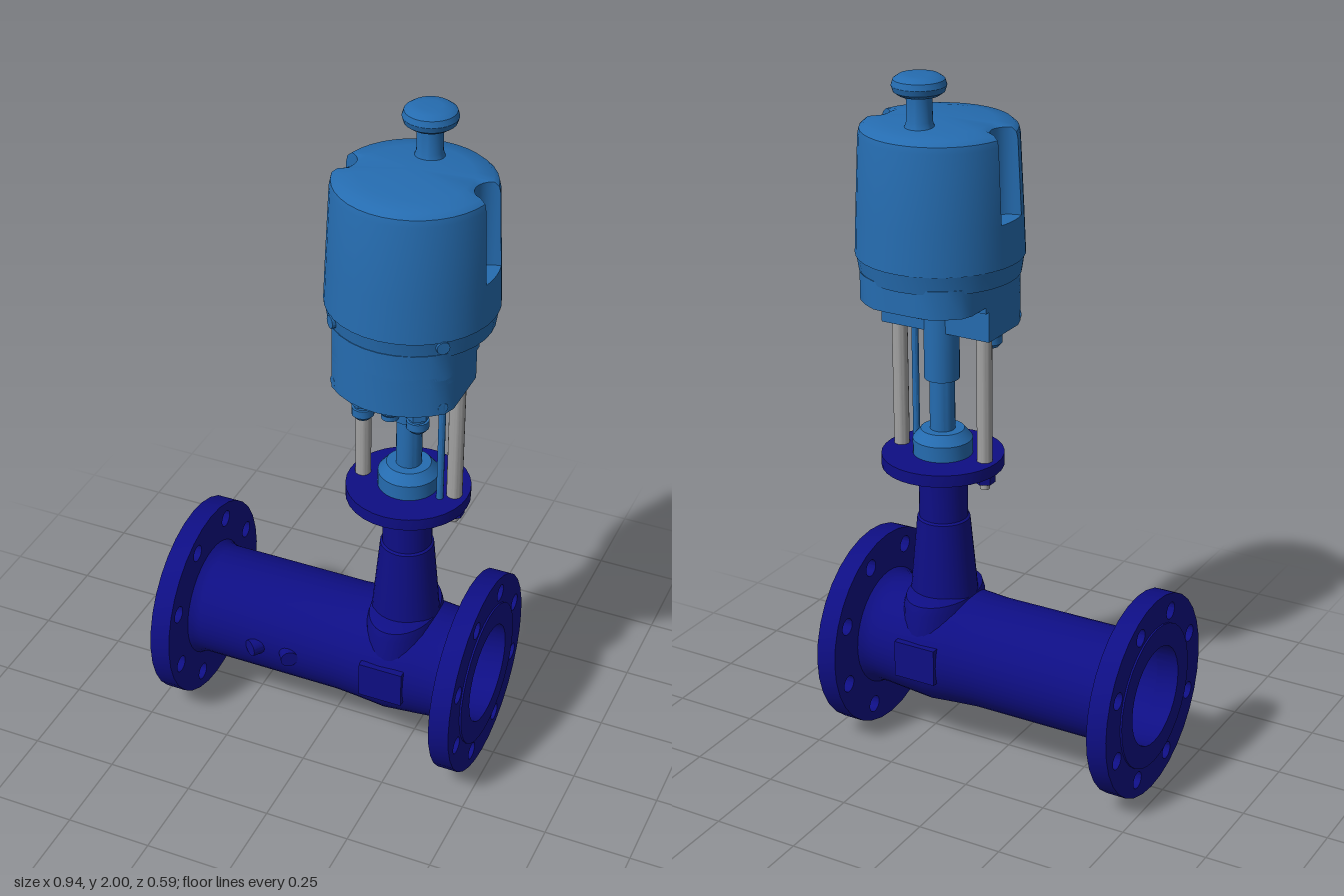
import * as THREE from 'three';
import { toCreasedNormals } from 'three/addons/utils/BufferGeometryUtils.js';

const navy = new THREE.MeshStandardMaterial({ color: 0x0e0e84 });
navy.name = 'navy paint';
const blue = new THREE.MeshStandardMaterial({ color: 0x256cb0 });
blue.name = 'blue paint';
const steel = new THREE.MeshStandardMaterial({ color: 0xa2a2a2 });
steel.name = 'bare steel';

const PIPE_Y = 0.295; // height of the pipe axis
const CX = 0.213;     // x of the vertical stem axis

export function createModel() {
  const model = new THREE.Group();
  model.name = 'motorisedValve';

  const add = (name, geo, mat, x = 0, y = 0, z = 0) => {
    const mesh = new THREE.Mesh(toCreasedNormals(geo, 0.6), mat);
    mesh.name = name;
    mesh.position.set(x, y, z);
    model.add(mesh);
    return mesh;
  };
  const lathe = (pts, seg = 32) =>
    new THREE.LatheGeometry(pts.map(([r, y]) => new THREE.Vector2(r, y)), seg);
  const rod = (name, mat, r, y0, y1, x, z = 0, seg = 20) =>
    add(name, new THREE.CylinderGeometry(r, r, y1 - y0, seg), mat, x, (y0 + y1) / 2, z);
  const circle = (P, r, x = 0, y = 0) => {
    const p = new P();
    p.absarc(x, y, r, 0, Math.PI * 2);
    return p;
  };
  // disc with round holes, extruded along x
  const disc = (r, depth, holes) => {
    const s = circle(THREE.Shape, r);
    holes.forEach(([hr, x, y]) => s.holes.push(circle(THREE.Path, hr, x, y)));
    return new THREE.ExtrudeGeometry(s, { depth, bevelEnabled: false, curveSegments: 16 })
      .rotateY(Math.PI / 2);
  };

  // Pipe body with fillets at the flanges and a bulge around the ball
  const pipe = lathe([[0.178, -0.41], [0.168, -0.395], [0.163, -0.375], [0.163, 0.05],
    [0.168, 0.12], [0.175, 0.2], [0.168, 0.29], [0.163, 0.35], [0.163, 0.375],
    [0.168, 0.395], [0.178, 0.41]], 40).rotateZ(-Math.PI / 2);
  add('pipeBody', pipe, navy, 0, PIPE_Y);
  const bore = lathe([[0.145, 0.47], [0.145, -0.47]], 40).rotateZ(-Math.PI / 2);
  add('pipeBore', bore, navy, 0, PIPE_Y);
  add('valveBall', new THREE.SphereGeometry(0.15, 32, 20), navy, 0.205, PIPE_Y);

  // End flanges with eight bolt holes and raised faces
  const boltHoles = [[0.145, 0, 0]];
  for (let i = 0; i < 8; i++) {
    const a = (i + 0.5) * Math.PI / 4;
    boltHoles.push([0.025, 0.243 * Math.cos(a), 0.243 * Math.sin(a)]);
  }
  for (const s of [-1, 1]) {
    add('endFlange', disc(0.295, 0.06, boltHoles), navy, s * 0.435 - 0.03, PIPE_Y);
    add('raisedFace', disc(0.21, 0.007, [[0.145, 0, 0]]), navy,
      s > 0 ? 0.463 : -0.47, PIPE_Y);
  }

  // Name plates on both sides and two slanted test ports
  for (const s of [-1, 1])
    add('namePlate', new THREE.BoxGeometry(0.13, 0.11, 0.02), navy, 0.21, 0.3, s * 0.17);
  for (const s of [-1, 1]) {
    const port = add('testPort', new THREE.CylinderGeometry(0.025, 0.025, 0.06, 16)
      .rotateX(Math.PI / 2), navy, -0.138 + s * 0.046, PIPE_Y, 0.152);
    port.rotation.y = s * 0.6;
  }

  // Oval boss, tapered neck and mounting flange
  add('neckBoss', lathe([[0.105, 0.3], [0.102, 0.44], [0.096, 0.465], [0.08, 0.475], [0, 0.475]])
    .scale(1, 1, 1.5), navy, CX);
  add('neck', lathe([[0.098, 0.45], [0.094, 0.5], [0.076, 0.695], [0.07, 0.7], [0.07, 0.87]]),
    navy, CX);
  rod('mountingFlange', navy, 0.174, 0.86, 0.895, CX, 0, 32);

  // Support posts with nuts below the mounting flange
  for (const s of [-1, 1]) {
    const x = CX + s * 0.136;
    rod('supportPost', steel, 0.022, 0.895, 1.268, x);
    rod('postNut', navy, 0.03, 0.83, 0.86, x, 0, 6);
    rod('postTip', steel, 0.014, 0.81, 0.83, x);
  }

  // Collar, stem and coupling
  add('stemCollar', lathe([[0.085, 0.895], [0.085, 0.94], [0.062, 0.968], [0, 0.968]]), blue, CX);
  rod('stem', blue, 0.036, 0.96, 1.14, CX);
  rod('stemCoupling', blue, 0.05, 1.12, 1.38, CX);
  rod('antiTurnRod', blue, 0.01, 0.895, 1.27, 0.318, 0.03, 12);

  // Housing slabs: a circle clipped to flat sides and a flat back
  const slab = (name, back, y0, y1) => {
    const pts = [];
    for (let i = 0; i < 32; i++) {
      const a = i / 32 * Math.PI * 2;
      const x = THREE.MathUtils.clamp(0.226 * Math.cos(a), -0.172, 0.172);
      const z = Math.max(0.226 * Math.sin(a), back);
      pts.push(new THREE.Vector2(x, -z));
    }
    const geo = new THREE.ExtrudeGeometry(new THREE.Shape(pts.reverse()),
      { depth: y1 - y0, bevelEnabled: false }).rotateX(-Math.PI / 2);
    add(name, geo, blue, CX, y0);
  };
  slab('lowerHousing', -0.036, 1.265, 1.38);
  slab('housingStep', -0.052, 1.352, 1.38);
  slab('upperHousing', -0.212, 1.37, 1.45);
  rod('rearPlug', blue, 0.035, 1.33, 1.372, CX, -0.085);

  // Cable glands under the front of the housing
  for (const dx of [-0.078, 0, 0.078]) {
    const low = dx ? 1.18 : 1.21;
    rod('glandNut', blue, 0.034, 1.225, 1.25, CX + dx, 0.14, 6);
    rod('glandNeck', blue, 0.024, 1.2, 1.27, CX + dx, 0.14);
    add('glandCap', lathe([[0, 0], [0.02, 0], [0.031, 0.012], [0.031, 0.035], [0, 0.035]], 16),
      blue, CX + dx, low, 0.14);
  }

  // Base ring of the cover with its screws
  add('coverRing', lathe([[0, 1.438], [0.222, 1.438], [0.23, 1.49], [0, 1.49]], 36), blue, CX);
  for (const s of [-1, 1]) {
    const screw = add('coverScrew', new THREE.CylinderGeometry(0.018, 0.018, 0.03, 12)
      .rotateX(Math.PI / 2), blue, CX + s * 0.148, 1.475, 0.165);
    screw.rotation.y = s * 0.73;
    const low = add('housingScrew', new THREE.CylinderGeometry(0.014, 0.014, 0.02, 12)
      .rotateX(Math.PI / 2), blue, CX + s * 0.15, 1.285, 0.155);
    low.rotation.y = s * 0.73;
  }

  add('actuatorCover', coverGeometry(), blue, CX);

  // Hand knob on top
  add('handKnob', lathe([[0.042, 1.855], [0.035, 1.875], [0.035, 1.945], [0.055, 1.946],
    [0.069, 1.956], [0.074, 1.972], [0.069, 1.988], [0.055, 1.998], [0.03, 2.0], [0, 2.0]]),
    blue, CX, 0, -0.098);

  return model;
}

// Tapered, domed cover with a vertical round groove cut into its +x and -x sides
function coverGeometry() {
  const d = 0.213, r = 0.05, edge = Math.asin(r / d);
  const levels = [[1.49, 0], [1.49, 0.233], [1.61, 0.228], [1.61, 0.228, true], [1.82, 0.218, true],
    [1.838, 0.214, true], [1.85, 0.2, true], [1.858, 0.15, true], [1.868, 0, true]];
  // angles round one side: groove samples, then the plain wall
  const half = [];
  for (let i = 0; i <= 12; i++) half.push([Math.asin(Math.sin((i / 6 - 1) * Math.PI / 2) * r / d), true]);
  for (let i = 0; i <= 16; i++) half.push([edge + (Math.PI - 2 * edge) * i / 16, false]);
  const ring = [...half, ...half.map(([a, g]) => [a + Math.PI, g])];
  const n = ring.length, pos = [], idx = [];
  for (const [y, R, cut] of levels) {
    ring.forEach(([a, groove], i) => {
      let rad = R;
      if (cut && groove) {
        const t = a > Math.PI / 2 ? a - Math.PI : a;
        const s = d * Math.sin(t);
        rad = Math.min(R, d * Math.cos(t) - Math.sqrt(Math.max(0, r * r - s * s)));
      }
      pos.push(rad * Math.cos(a), y, -rad * Math.sin(a));
    });
  }
  for (let l = 0; l < levels.length - 1; l++)
    for (let i = 0; i < n; i++) {
      const a = l * n + i, b = l * n + (i + 1) % n;
      idx.push(a, b, b + n, a, b + n, a + n);
    }
  const geo = new THREE.BufferGeometry();
  geo.setAttribute('position', new THREE.Float32BufferAttribute(pos, 3));
  geo.setIndex(idx);
  return geo;
}
